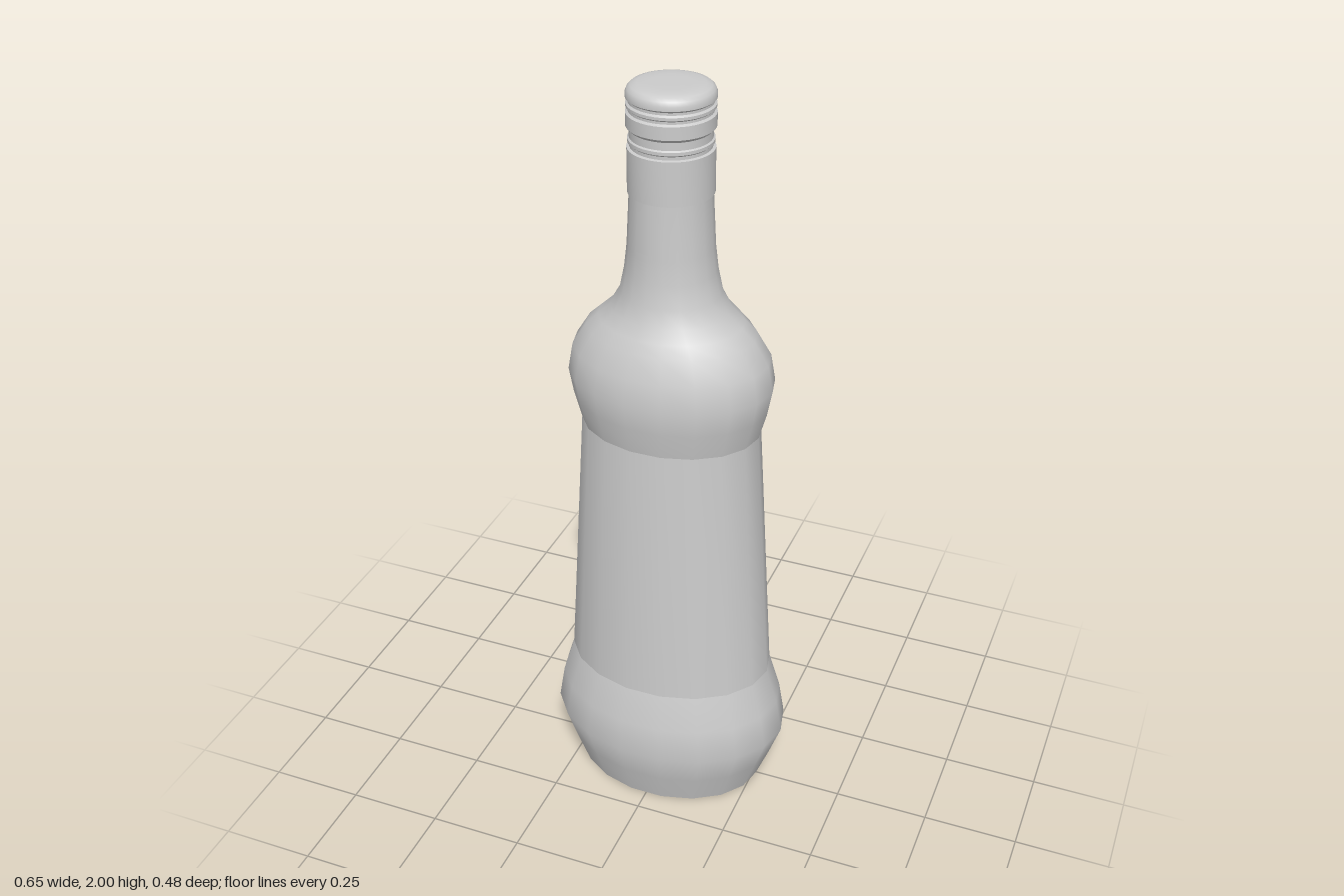
import * as THREE from 'three';
import { toCreasedNormals } from 'three/addons/utils/BufferGeometryUtils.js';

const SIDES = 18;
const material = new THREE.MeshStandardMaterial({ color: 0xcccccc });

function addMesh(group, name, geometry) {
  const mesh = new THREE.Mesh(geometry, material);
  mesh.name = name;
  group.add(mesh);
}

// Smooth skin over elliptical rings [y, radius x, radius z], listed bottom to top
function loft(rings) {
  const positions = [], index = [];
  rings.forEach(([y, rx, rz], i) => {
    for (let j = 0; j < SIDES; j++) {
      const a = (j / SIDES) * Math.PI * 2;
      positions.push(rx * Math.cos(a), y, rz * Math.sin(a));
      if (i === 0) continue;
      const k = (j + 1) % SIDES, low = (i - 1) * SIDES, high = i * SIDES;
      index.push(low + j, high + j, high + k, low + j, high + k, low + k);
    }
  });
  const geometry = new THREE.BufferGeometry();
  geometry.setAttribute('position', new THREE.Float32BufferAttribute(positions, 3));
  geometry.setIndex(index);
  geometry.computeVertexNormals();
  return geometry;
}

export function createModel() {
  const bottle = new THREE.Group();
  bottle.name = 'bottle';

  // Flat oval underside
  const base = new THREE.CircleGeometry(1, SIDES);
  base.rotateX(Math.PI / 2).scale(0.259, 1, 0.193);
  addMesh(bottle, 'base', base);

  // Swollen foot, tapered label area, then shoulder running into a round neck
  addMesh(bottle, 'foot', loft([
    [0, 0.259, 0.193], [0.09, 0.294, 0.219], [0.18, 0.326, 0.243],
    [0.275, 0.31, 0.232], [0.375, 0.279, 0.209],
  ]));
  addMesh(bottle, 'labelArea', loft([[0.375, 0.279, 0.209], [1.108, 0.234, 0.178]]));
  addMesh(bottle, 'shoulderAndNeck', loft([
    [1.108, 0.234, 0.178], [1.18, 0.254, 0.192], [1.245, 0.266, 0.2],
    [1.315, 0.254, 0.189], [1.375, 0.217, 0.165], [1.405, 0.185, 0.15],
    [1.435, 0.153, 0.134], [1.48, 0.127, 0.118], [1.54, 0.114, 0.11],
    [1.6, 0.107, 0.105], [1.735, 0.1, 0.1], [1.8, 0.098, 0.098],
  ]));

  // Screw cap: skirt, grooves, raised bands and softly rounded top
  const profile = [
    [0.098, 1.738], [0.104, 1.738], [0.104, 1.848], [0.097, 1.85], [0.097, 1.858],
    [0.102, 1.862], [0.102, 1.87], [0.098, 1.873], [0.098, 1.892], [0.106, 1.9],
    [0.106, 1.932], [0.1, 1.936], [0.1, 1.942], [0.105, 1.946], [0.105, 1.953],
    [0.1, 1.957], [0.1, 1.963], [0.106, 1.968], [0.106, 1.978], [0.102, 1.988],
    [0.094, 1.995], [0.08, 1.999], [0.05, 2], [0, 2],
  ].map(([r, y]) => new THREE.Vector2(r, y));
  addMesh(bottle, 'screwCap', toCreasedNormals(new THREE.LatheGeometry(profile, 40), 0.6));

  return bottle;
}
